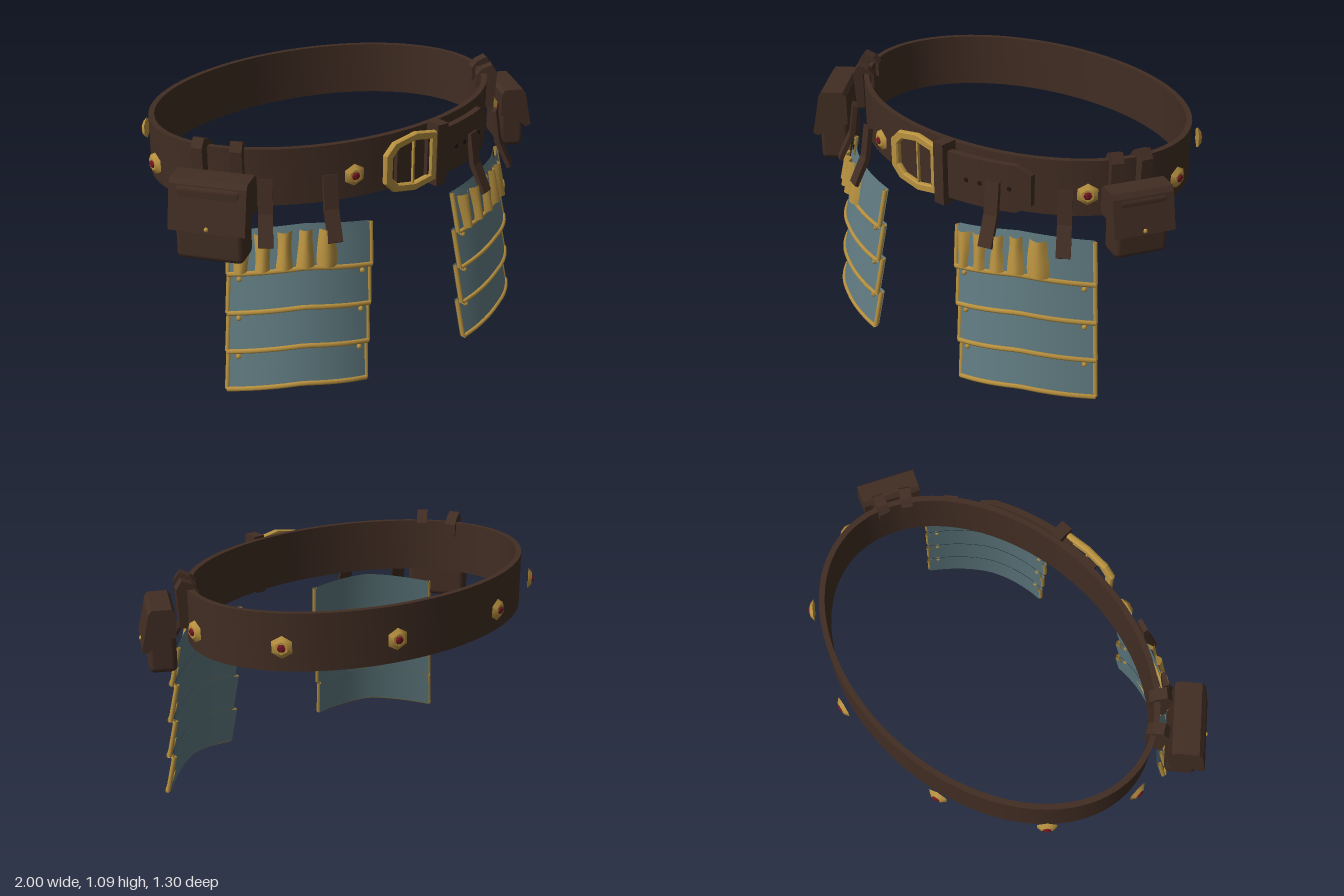
import * as THREE from 'three';
import { toCreasedNormals } from 'three/addons/utils/BufferGeometryUtils.js';
import { RoundedBoxGeometry } from 'three/addons/geometries/RoundedBoxGeometry.js';
import { ParametricGeometry } from 'three/addons/geometries/ParametricGeometry.js';

const material = (name, color, side = THREE.FrontSide) => {
  const m = new THREE.MeshStandardMaterial({ color, side });
  m.name = name;
  return m;
};
const leather = material('brown leather', 0x412d23);
const dark = material('dark leather', 0x21160f);
const gold = material('aged gold', 0xb8913f, THREE.DoubleSide);
const steel = material('blue steel', 0x5f7a80, THREE.DoubleSide);
const ruby = material('dark red gem', 0x701420);

// Belt ellipse
const CX = -0.01, CZ = -0.035, RX = 0.825, RZ = 0.58;

function add(parent, name, geometry, mat, x = 0, y = 0, z = 0) {
  const mesh = new THREE.Mesh(geometry, mat);
  mesh.name = name;
  mesh.position.set(x, y, z);
  parent.add(mesh);
  return mesh;
}

function group(parent, name) {
  const g = new THREE.Group();
  g.name = name;
  parent.add(g);
  return g;
}

// Group standing on the belt at an angle from the front, its local z facing outward
function onBelt(parent, name, angle, offset, y = 0) {
  const g = group(parent, name);
  const n = new THREE.Vector2(Math.sin(angle) / RX, Math.cos(angle) / RZ).normalize();
  g.position.set(CX + RX * Math.sin(angle) + n.x * offset, y, CZ + RZ * Math.cos(angle) + n.y * offset);
  g.rotation.y = Math.atan2(n.x, n.y);
  return g;
}

// Side profile of (z, y) points, extruded along x
function slab(points, width) {
  const shape = new THREE.Shape(points.map(p => new THREE.Vector2(...p)));
  const g = new THREE.ExtrudeGeometry(shape, { depth: width, bevelEnabled: false });
  return g.rotateY(-Math.PI / 2).translate(width / 2, 0, 0);
}

function buildBelt(root) {
  const shape = new THREE.Shape().absellipse(CX, CZ, RX, RZ, 0, Math.PI * 2);
  shape.holes.push(new THREE.Path().absellipse(CX, CZ, RX - 0.025, RZ - 0.025, 0, Math.PI * 2));
  const band = new THREE.ExtrudeGeometry(shape, { depth: 0.245, bevelEnabled: false, curveSegments: 40 });
  band.rotateX(Math.PI / 2).translate(0, 1.065, 0);
  add(root, 'beltBand', toCreasedNormals(band, 0.6), leather);

  // Overlapping tongue, bent along the belt and clipped at its end
  const tongue = new THREE.BoxGeometry(0.44, 0.21, 0.03, 22, 1, 1).translate(0.28, 0, 0);
  const p = tongue.attributes.position;
  const bendAt = (x, off) => {
    const a = Math.asin((x - CX) / RX);
    const n = new THREE.Vector2(Math.sin(a) / RX, Math.cos(a) / RZ).normalize();
    return [x + n.x * off * 0.3, CZ + RZ * Math.cos(a) + n.y * off];
  };
  for (let i = 0; i < p.count; i++) {
    const x = p.getX(i);
    const [bx, bz] = bendAt(x, 0.035 + p.getZ(i));
    const clip = 1 - 0.35 * Math.max(0, (x - 0.44) / 0.06);
    p.setXYZ(i, bx, 0.935 + p.getY(i) * clip, bz);
  }
  tongue.computeVertexNormals();
  add(root, 'beltTongue', tongue, leather);
  for (let i = 0; i < 4; i++) {
    const [x, z] = bendAt(0.24 + i * 0.06, 0.051);
    add(root, 'beltHole', new THREE.CylinderGeometry(0.01, 0.01, 0.006, 8).rotateX(Math.PI / 2), dark, x, 0.935, z);
  }
}

function buildBuckle(root) {
  const g = group(root, 'buckle');
  const outline = [[-0.165, -0.06], [-0.12, -0.105], [-0.01, -0.125], [0.1, -0.105],
    [0.1, 0.105], [-0.01, 0.125], [-0.12, 0.105], [-0.165, 0.06]];
  const points = k => outline.map(([x, y]) => new THREE.Vector2((x + 0.02) * k - 0.02, y * k));
  const frame = new THREE.Shape(points(1));
  frame.holes.push(new THREE.Path(points(0.8)));
  add(g, 'buckleFrame', new THREE.ExtrudeGeometry(frame,
    { depth: 0.012, bevelThickness: 0.008, bevelSize: 0.005, bevelSegments: 1 }), gold, 0, 0.94, 0.585);
  add(g, 'buckleBar', new THREE.BoxGeometry(0.008, 0.2, 0.012), gold, -0.015, 0.94, 0.59);
  add(g, 'buckleBacking', new THREE.BoxGeometry(0.2, 0.19, 0.02), leather, 0.015, 0.94, 0.562);
  add(g, 'beltKeeper', new THREE.BoxGeometry(0.055, 0.275, 0.075), leather, 0.127, 0.938, 0.573);
}

function buildStuds(root) {
  const angles = [-0.335, 0.95];
  for (const s of [-1, 1]) angles.push(s * Math.PI / 2, s * (Math.PI - 0.945), s * (Math.PI - 0.335));
  for (const a of angles) {
    const g = onBelt(root, 'beltStud', a, 0.045, 0.937);
    add(g, 'studPlate', new THREE.CylinderGeometry(0.028, 0.048, 0.016, 6).rotateX(Math.PI / 2).toNonIndexed(), gold);
    const gem = add(g, 'studGem', new THREE.IcosahedronGeometry(0.02, 0), ruby, 0, 0, 0.006);
    gem.scale.z = 0.6;
  }
}

function buildPouch(root, { x, z, nx, nz, w, d, bottom, flap, loops }) {
  const g = group(root, 'pouch');
  g.position.set(x, 0, z);
  g.rotation.y = Math.atan2(nx, nz);
  const h = 0.98 - bottom, b = d / 2;
  add(g, 'pouchBody', new RoundedBoxGeometry(w * 0.88, h, d * 0.85, 2, 0.025), leather, 0, bottom + h / 2, -0.01);
  // Lid with a sloping front
  add(g, 'pouchFlap', slab([[-b, flap + 0.06], [-b * 0.2, flap + 0.06], [b * 0.75, flap], [b + 0.005, flap + 0.01],
    [b * 0.6, 0.98], [b * 0.4, 1.0], [-b * 0.8, 1.0], [-b, 0.98]], w), leather);
  add(g, 'pouchButton', new THREE.SphereGeometry(0.01, 8, 6), gold, 0, flap + 0.025, b);
  // Loops hooked over the belt
  for (const a of loops) {
    add(onBelt(root, 'pouchLoop', a, 0), 'loopStrap', slab([[0.005, 0.9], [0.04, 0.9], [0.05, 1.07], [0.025, 1.108],
      [-0.02, 1.09], [-0.045, 1.06], [-0.045, 1.0], [-0.03, 1.0], [-0.03, 1.067], [0.005, 1.067]], 0.05), leather);
  }
}

// Point on a layered thigh guard: u across, v down one row, off along the outward normal
function guardPoint(side, row, u, v, off, target) {
  const k = (row + v) / 4;
  const out = off + 0.022 * (v - 0.5);
  const x = 0.49 + 0.26 * u - 0.015 * u * u + 0.05 * k + (0.5 + 0.25 * u) * out;
  const z = 0.53 - 0.138 * u - 0.062 * u * u + 0.03 * k + (0.87 - 0.15 * u) * out;
  const y = 0.728 - 0.175 * (row + v) + 0.036 * (1 - Math.pow(Math.abs(u), 1.3));
  return target.set(side * x - (side < 0 ? 0.025 : 0), y, z);
}

function buildGuard(root, side) {
  const g = group(root, side > 0 ? 'leftThighGuard' : 'rightThighGuard');
  const at = (row, u, v, off = 0) => guardPoint(side, row, u, v, off, new THREE.Vector3());
  const patch = (fn, nu, nv) => {
    const geo = new ParametricGeometry(fn, nu, nv);
    geo.computeVertexNormals();
    return geo;
  };
  const trim = (name, points, r) =>
    add(g, name, new THREE.TubeGeometry(new THREE.CatmullRomCurve3(points), 16, r, 6), gold);

  for (let row = 0; row < 4; row++) {
    add(g, 'guardPlate', patch((u, v, t) => guardPoint(side, row, u * 2 - 1, v * 1.04, 0, t), 16, 4), steel);
    add(g, 'guardPlateBack', patch((u, v, t) => guardPoint(side, row, u * 2 - 1, v, -0.02, t), 16, 4), steel);
    trim('plateTrim', Array.from({ length: 9 }, (_, i) => at(row, i / 4 - 1, 1)), 0.011);
    for (const u of [-1, 1]) {
      trim('sideTrim', [at(row, u, 0, -0.005), at(row, u, 0.5, -0.005), at(row, u, 1, -0.005)], 0.011);
      if (row) add(g, 'plateRivet', new THREE.SphereGeometry(0.012, 6, 4), gold).position.copy(at(row, u * 0.87, 0.18, 0.004));
    }
  }

  // Raised gold flutes on the top plate
  const edges = [-0.96, -0.7, -0.42, -0.14, 0.14, 0.46];
  for (let i = 0; i < 5; i++) {
    const a = edges[i], w = edges[i + 1] - a - 0.025;
    add(g, 'goldFlute', patch((u, v, t) => {
      const taper = 0.85 + 0.15 * Math.cos(v * 3 + i);
      const p = a + w * (0.5 + (u - 0.5) * taper);
      return guardPoint(side, 0, side * p, 0.06 + 0.88 * v, 0.008 + 0.022 * Math.sin(Math.PI * u), t);
    }, 6, 5), gold);
  }
}

export function createModel() {
  const root = new THREE.Group();
  root.name = 'armoredBelt';
  buildBelt(root);
  buildBuckle(root);
  buildStuds(root);
  buildPouch(root, { x: -0.84, z: 0.345, nx: -0.78, nz: 0.62, w: 0.32, d: 0.16, bottom: 0.655, flap: 0.785, loops: [-1.19, -0.955] });
  buildPouch(root, { x: 0.87, z: 0.235, nx: 0.89, nz: 0.45, w: 0.26, d: 0.14, bottom: 0.715, flap: 0.815, loops: [1.3, 1.115] });
  for (const side of [-1, 1]) buildGuard(root, side);
  // Hanging straps
  for (const a of [-0.8, -0.47, 0.45, 0.83]) {
    add(onBelt(root, 'hangingStrap', a, 0.04), 'strap', slab([[0, 0.955], [0.02, 0.962], [0.042, 0.82],
      [0.1, 0.7], [0.085, 0.69], [0.02, 0.815]], 0.06), leather);
  }
  return root;
}
